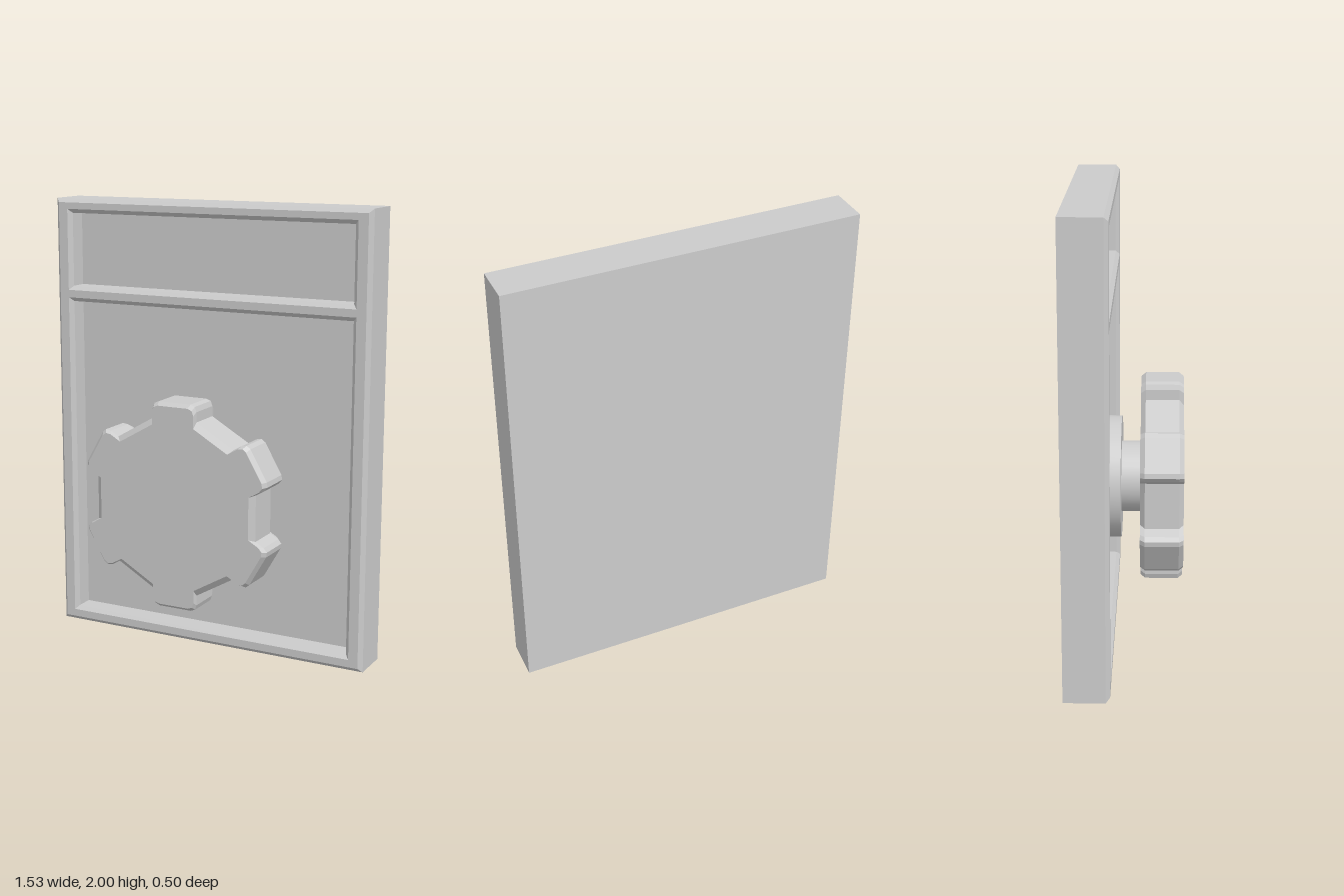
import * as THREE from 'three';

const material = new THREE.MeshStandardMaterial({ color: 0xcccccc });
const flatMaterial = new THREE.MeshStandardMaterial({ color: 0xcccccc, flatShading: true });
const KNOB_Y = 0.72;

function addMesh(parent, name, geometry, mat = material) {
  const mesh = new THREE.Mesh(geometry, mat);
  mesh.name = name;
  parent.add(mesh);
  return mesh;
}

function rectangle(target, halfWidth, y0, y1) {
  target.moveTo(-halfWidth, y0);
  target.lineTo(halfWidth, y0);
  target.lineTo(halfWidth, y1);
  target.lineTo(-halfWidth, y1);
  target.closePath();
  return target;
}

// Disc facing +z between two depths
function disc(parent, name, radius, z0, z1) {
  const geometry = new THREE.CylinderGeometry(radius, radius, z1 - z0, 32);
  geometry.rotateX(Math.PI / 2);
  addMesh(parent, name, geometry).position.set(0, KNOB_Y, (z0 + z1) / 2);
}

// Hexagonal outline with a round-cornered tab on each of its six corners
function knobOutline(tip, half, apothem) {
  const base = (apothem - half / 2) / (Math.sqrt(3) / 2);
  const side = [[half, base], [half, tip - 0.03], [half - 0.008, tip - 0.008], [half - 0.028, tip]];
  const tab = [...side, ...side.map(([u, r]) => [-u, r]).reverse()];
  const points = [];
  for (let k = 0; k < 6; k++) {
    const a = Math.PI / 6 + k * Math.PI / 3;
    const c = Math.cos(a), s = Math.sin(a);
    for (const [u, r] of tab) points.push([r * c + u * s, r * s - u * c]);
  }
  return points;
}

// Loft of the outlines from back to front, capped at both ends
function knobGeometry() {
  const wide = knobOutline(0.458, 0.105, 0.385);
  const narrow = knobOutline(0.443, 0.1, 0.36);
  const loops = [[narrow, 0.06], [wide, 0.08], [wide, 0.225], [narrow, 0.245]];
  const n = wide.length, positions = [], index = [];
  for (const [points, z] of loops) for (const [x, y] of points) positions.push(x, y, z);
  positions.push(0, 0, 0.06, 0, 0, 0.245);
  const back = n * loops.length, front = back + 1, last = n * (loops.length - 1);
  for (let i = 0; i < n; i++) {
    const j = (i + 1) % n;
    for (let l = 0; l < last; l += n) {
      index.push(l + i, l + j, l + n + j, l + i, l + n + j, l + n + i);
    }
    index.push(back, j, i, front, last + i, last + j);
  }
  const geometry = new THREE.BufferGeometry();
  geometry.setAttribute('position', new THREE.Float32BufferAttribute(positions, 3));
  geometry.setIndex(index);
  const flat = geometry.toNonIndexed();
  flat.computeVertexNormals();
  return flat;
}

export function createModel() {
  const model = new THREE.Group();
  model.name = 'panelWithKnob';

  // Solid backing, its front forming the floor of both recesses
  addMesh(model, 'backPanel', new THREE.BoxGeometry(1.53, 2, 0.1)).position.set(0, 1, -0.2);

  // Bevelled frame with a top and a lower opening; its rear bevel sinks into the backing
  const frame = rectangle(new THREE.Shape(), 0.765, 0, 2);
  frame.holes.push(rectangle(new THREE.Path(), 0.685, 0.07, 1.535));
  frame.holes.push(rectangle(new THREE.Path(), 0.685, 1.605, 1.935));
  addMesh(model, 'frame', new THREE.ExtrudeGeometry(frame, {
    depth: 0.077, bevelEnabled: true, bevelThickness: 0.018,
    bevelSize: 0.018, bevelOffset: -0.018, bevelSegments: 1,
  })).position.z = -0.15;

  // Control knob on its stem and flange
  const control = new THREE.Group();
  control.name = 'control';
  model.add(control);
  disc(control, 'flange', 0.27, -0.16, -0.025);
  disc(control, 'stem', 0.157, -0.03, 0.07);
  addMesh(control, 'knob', knobGeometry(), flatMaterial).position.y = KNOB_Y;

  return model;
}
